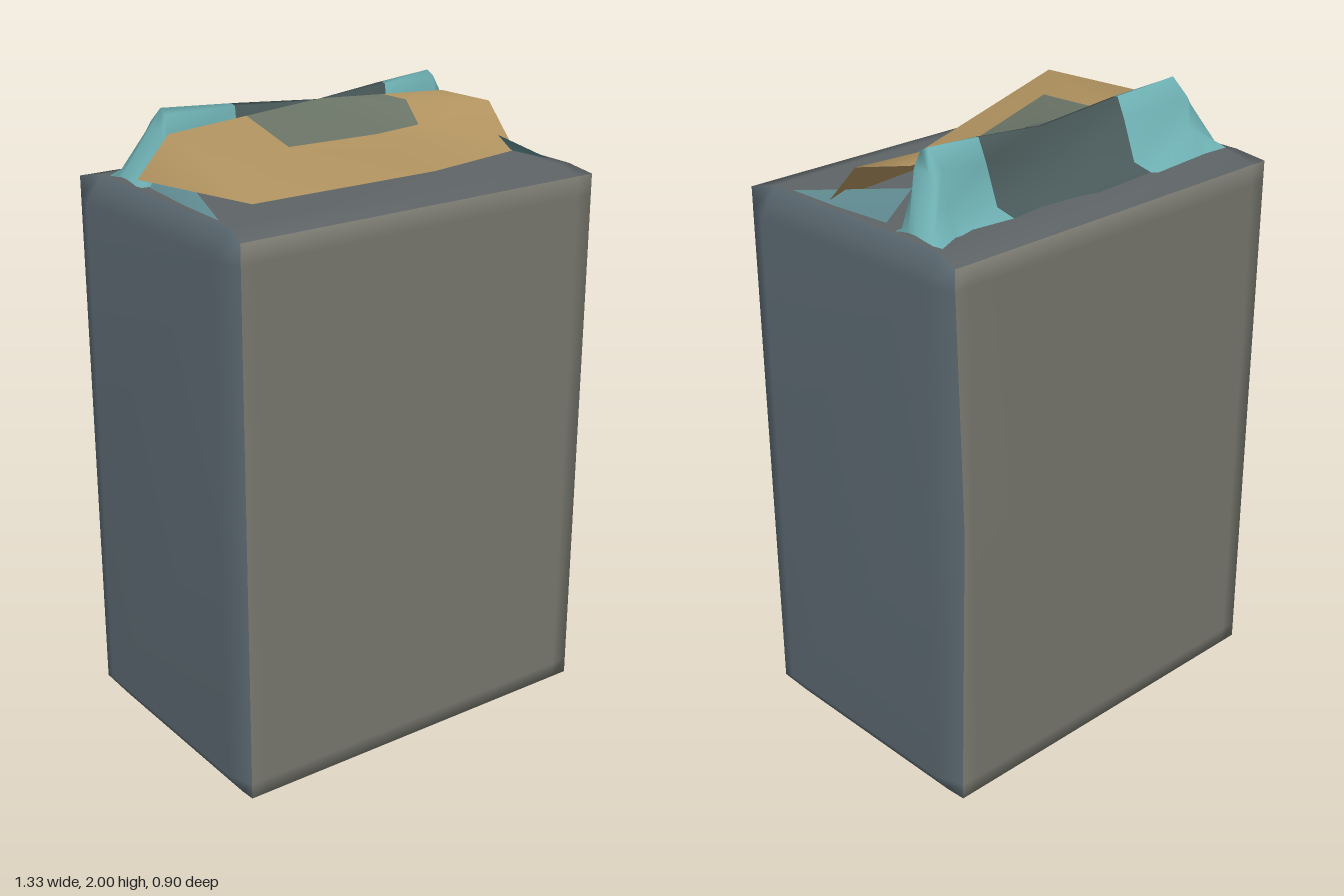
import * as THREE from 'three';
import { mergeVertices } from 'three/addons/utils/BufferGeometryUtils.js';

function part(name, geometry, color) {
  const material = new THREE.MeshStandardMaterial({ color, side: THREE.DoubleSide });
  const mesh = new THREE.Mesh(geometry, material);
  mesh.name = name;
  return mesh;
}

function surface(points, faces) {
  const g = new THREE.BufferGeometry();
  g.setAttribute('position', new THREE.Float32BufferAttribute(points.flat(), 3));
  g.setIndex(faces.flat());
  g.computeVertexNormals();
  return g;
}

// Packet body: a box grid whose rows move to bevelled positions
function bodyGeometry() {
  const xs = [-0.667, -0.58, 0.58, 0.667];
  const ys = [0, 0.08, 0.95, 1.7, 1.785];
  const zs = [-0.455, -0.36, 0.35, 0.435];
  let g = new THREE.BoxGeometry(2, 2, 2, 3, 4, 3);
  g.deleteAttribute('uv');
  g.deleteAttribute('normal');
  g = mergeVertices(g);
  const p = g.attributes.position;
  for (let n = 0; n < p.count; n++) {
    const i = Math.round((p.getX(n) + 1) * 1.5);
    const j = Math.round((p.getY(n) + 1) * 2);
    const k = Math.round((p.getZ(n) + 1) * 1.5);
    const ex = i % 3 === 0, ey = j % 4 === 0, ez = k % 3 === 0;
    let x = xs[i], y = ys[j], z = zs[k];
    if (ex && ez) x = Math.sign(x) * 0.635;
    else if (ex && ey) x = Math.sign(x) * 0.615;
    if (ey && ez) y = j ? 1.765 : 0.03;
    // slight dent halfway up one back edge
    if (i === 3 && k === 0 && j === 2) { x -= 0.03; z += 0.01; }
    p.setXYZ(n, x, y, z);
  }
  g.computeVertexNormals();
  return g;
}

// Opposite panels share a colour; all share the smooth normals of the body
function bodyPanels() {
  const g = bodyGeometry();
  const index = Array.from(g.index.array);
  const box = new THREE.BoxGeometry(2, 2, 2, 3, 4, 3);
  const panels = [['sidePanels', 0x58656d], ['topAndBottom', 0x5e6466], ['frontAndBack', 0x78786f]];
  return panels.map(([name, color], n) => {
    const a = box.groups[2 * n], b = box.groups[2 * n + 1];
    const panel = g.clone();
    panel.setIndex(index.slice(a.start, b.start + b.count));
    panel.clearGroups();
    return part(name, panel, color);
  });
}

// Neck piece: profiles of [z, y] from back to front, lofted along x
function loft(stations) {
  const points = [], faces = [], m = stations[0][1].length;
  stations.forEach(([x, profile], s) => {
    profile.forEach(([z, y], r) => {
      points.push([x, y, z]);
      if (s && r) {
        const d = s * m + r, c = d - 1, b = d - m, a = b - 1;
        faces.push([a, b, c], [c, b, d]);
      }
    });
  });
  return surface(points, faces);
}

// Pinched neck: an upright ear at each end and a sunken fold between
function neckParts() {
  const end = [[-0.37, 1.78], [-0.33, 1.785], [-0.29, 1.79], [-0.26, 1.795], [-0.23, 1.795], [-0.2, 1.79], [-0.15, 1.78]];
  const tip = [[-0.33, 1.78], [-0.26, 1.85], [-0.25, 1.92], [-0.22, 1.94], [-0.16, 1.94], [-0.15, 1.88], [-0.14, 1.78]];
  const ear = [[-0.33, 1.78], [-0.265, 1.85], [-0.25, 1.95], [-0.19, 2.0], [-0.16, 1.985], [-0.15, 1.9], [-0.14, 1.78]];
  const mid = [[-0.35, 1.78], [-0.26, 1.80], [-0.215, 1.92], [-0.185, 1.985], [-0.165, 1.98], [-0.155, 1.9], [-0.14, 1.78]];
  const low = [[-0.37, 1.78], [-0.28, 1.79], [-0.19, 1.85], [-0.18, 1.96], [-0.17, 1.96], [-0.16, 1.9], [-0.14, 1.78]];
  return [
    part('rightEar', loft([[-0.6, end], [-0.52, tip], [-0.5, ear], [-0.26, mid]]), 0x6eb0b3),
    part('neckFold', loft([[-0.26, mid], [0.05, low], [0.3, mid]]), 0x4a5a5a),
    part('leftEar', loft([[0.3, mid], [0.49, ear], [0.515, tip], [0.6, end]]), 0x6eb0b3),
  ];
}

// Torn flap folded forward from the neck, with a darker area around its crease
function flapParts() {
  const centre = [0.05, 1.965, -0.165];
  const rim = [
    [-0.5, 1.93, -0.15],
    [-0.605, 1.87, 0.45],
    [0.18, 1.80, 0.24],
    [0.59, 1.785, 0.13],
    [0.59, 1.92, 0],
    [0.51, 1.94, -0.14],
  ];
  const n = rim.length;
  const inner = rim.map((p) => p.map((v, i) => centre[i] + (v - centre[i]) * 0.5));
  const outerFaces = [], innerFaces = [];
  for (let i = 0; i < n - 1; i++) {
    outerFaces.push([n + i, i, i + 1], [n + i, i + 1, n + i + 1]);
    innerFaces.push([0, i + 1, i + 2]);
  }
  // folded-down corner at the flap's right end
  const corner = 2 * n;
  outerFaces.push([corner, 1, 0]);
  return [
    part('flap', surface([...rim, ...inner, [-0.605, 1.81, -0.155]], outerFaces), 0xb0925f),
    part('flapCrease', surface([centre, ...inner], innerFaces), 0x6a7466),
  ];
}

// Side gusset running from the neck to a front corner
function gusset(name, side) {
  const points = [[0.515, 1.88, -0.15], [0.575, 1.775, 0.08], [0.605, 1.78, 0.3], [0.585, 1.79, -0.12]]
    .map(([x, y, z]) => [x * side, y, z]);
  const faces = [[0, 1, 2], [0, 2, 3]];
  return part(name, surface(points, side > 0 ? faces : faces.map((f) => [...f].reverse())), 0x5f8a90);
}

export function createModel() {
  const group = new THREE.Group();
  group.name = 'openedPacket';
  group.add(
    ...bodyPanels(),
    ...neckParts(),
    ...flapParts(),
    gusset('leftGusset', 1),
    gusset('rightGusset', -1),
  );
  return group;
}
